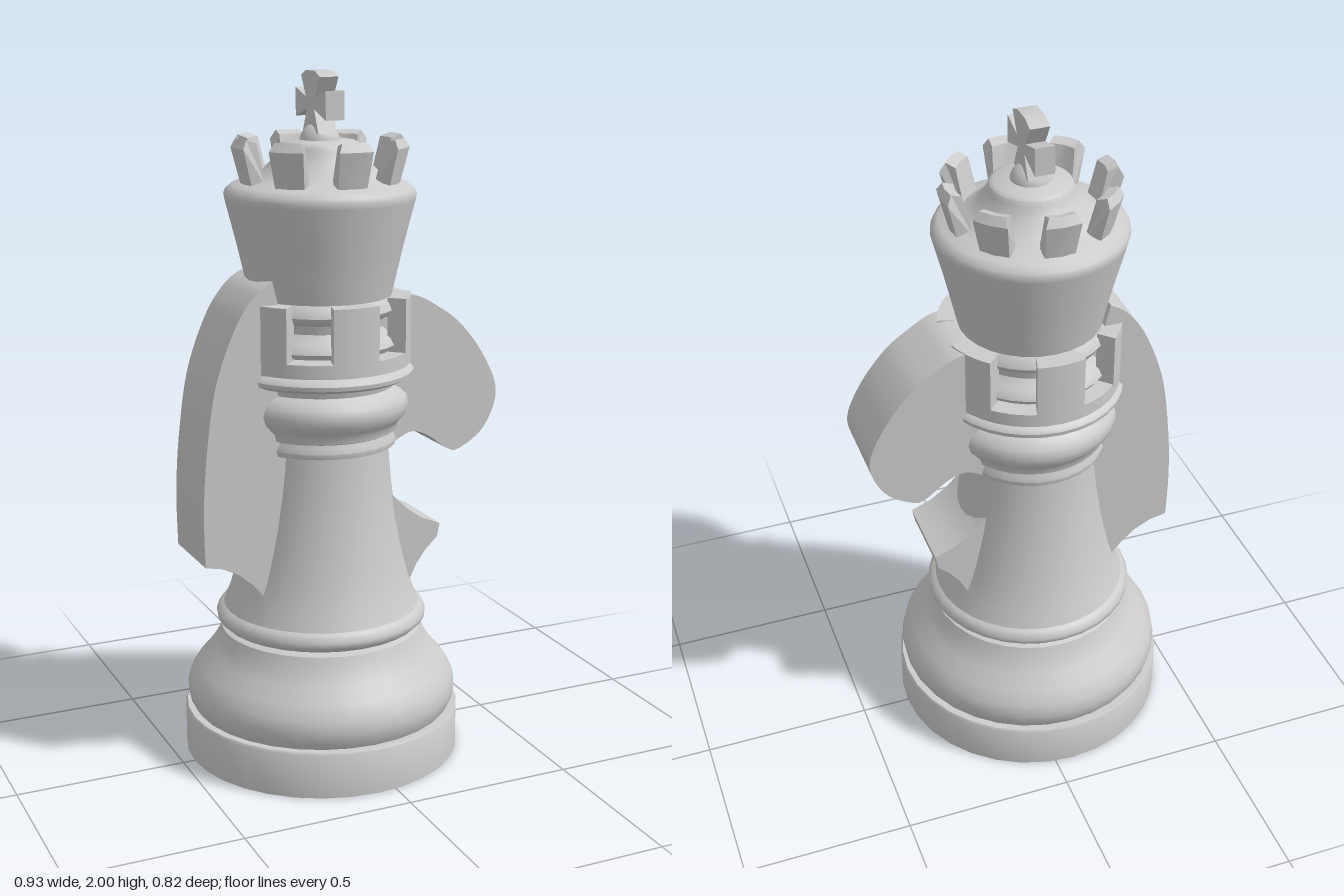
import * as THREE from 'three';
import { toCreasedNormals } from 'three/addons/utils/BufferGeometryUtils.js';

const AXIS = -0.055; // x of the turned body
const material = new THREE.MeshStandardMaterial({ color: 0xcccccc, side: THREE.DoubleSide });

const vecs = pts => pts.map(([x, y]) => new THREE.Vector2(x, y));

function part(name, geometry, crease = 0.6) {
  const mesh = new THREE.Mesh(toCreasedNormals(geometry, crease), material);
  mesh.name = name;
  return mesh;
}

function lathe(name, pts, segments = 32) {
  return part(name, new THREE.LatheGeometry(vecs(pts), segments), 0.7);
}

function extrude(shape, depth, steps = 1) {
  const g = new THREE.ExtrudeGeometry(shape, { depth, steps, bevelEnabled: false, curveSegments: 8 });
  return g.translate(0, 0, -depth / 2);
}

// Outline made of a smooth curve closed by straight lines
function outline(curve, rest) {
  const s = new THREE.Shape();
  s.moveTo(...curve[0]);
  s.splineThru(vecs(curve.slice(1)));
  rest.forEach(p => s.lineTo(...p));
  s.closePath();
  return s;
}

export function createModel() {
  const model = new THREE.Group();
  model.name = 'combinedChessPiece';
  const body = new THREE.Group();
  body.name = 'turnedBody';
  body.position.x = AXIS;
  model.add(body);

  // Turned parts, bottom to top
  body.add(lathe('base', [[0, 0], [0.41, 0], [0.41, 0.13], [0.405, 0.137], [0, 0.137]]));
  body.add(lathe('foot', [
    [0.38, 0.13], [0.395, 0.155], [0.402, 0.19], [0.395, 0.225], [0.37, 0.265], [0.335, 0.305],
    [0.31, 0.345], [0.298, 0.38], [0.27, 0.39], [0.295, 0.395], [0.31, 0.41], [0.312, 0.425],
    [0.3, 0.445], [0.28, 0.455]]));
  body.add(lathe('stem', [
    [0.29, 0.45], [0.27, 0.5], [0.25, 0.57], [0.235, 0.64], [0.22, 0.72], [0.208, 0.81],
    [0.2, 0.9], [0.198, 0.94], [0.218, 0.94], [0.222, 0.955], [0.215, 0.97], [0.21, 0.99]]));
  body.add(lathe('collar', [
    [0.2, 0.975], [0.222, 0.985], [0.226, 1.005], [0.235, 1.015], [0.25, 1.035], [0.256, 1.06],
    [0.25, 1.085], [0.23, 1.105], [0.215, 1.115], [0.22, 1.135], [0.25, 1.138], [0.268, 1.148],
    [0.27, 1.16], [0.262, 1.172], [0.24, 1.18]]));

  // Battlement: floor ring, inner core and six merlons
  body.add(lathe('battlementRing', [
    [0.22, 1.175], [0.26, 1.18], [0.26, 1.22], [0, 1.22]], 36));
  body.add(lathe('battlementCore', [
    [0.19, 1.22], [0.215, 1.225], [0.225, 1.24], [0.215, 1.26], [0.2, 1.27], [0.185, 1.29],
    [0.19, 1.315], [0.21, 1.325], [0.218, 1.34], [0.21, 1.36], [0.195, 1.375], [0.195, 1.39]]));
  const half = THREE.MathUtils.degToRad(15.5);
  for (let i = 0; i < 6; i++) {
    const a = Math.PI / 2 + i * Math.PI / 3;
    const s = new THREE.Shape();
    s.absarc(0, 0, 0.26, a - half, a + half, false);
    s.absarc(0, 0, 0.205, a + half, a - half, true);
    const g = extrude(s, 0.165).rotateX(-Math.PI / 2).translate(0, 1.2925, 0);
    body.add(part('merlon', g));
  }

  // Flared cup with the stepped cap in its middle
  body.add(lathe('cup', [
    [0, 1.375], [0.205, 1.375], [0.215, 1.42], [0.238, 1.52], [0.27, 1.645], [0.273, 1.66],
    [0.268, 1.675], [0.25, 1.69], [0.21, 1.7], [0.17, 1.72], [0.135, 1.755], [0.118, 1.785],
    [0.113, 1.8], [0.1, 1.808], [0, 1.815]], 28));
  const knob = part('knob', new THREE.SphereGeometry(0.058, 20, 12));
  knob.position.y = 1.802;
  body.add(knob);

  // Crown teeth: outward-leaning wedges, ridged and tapered
  const tooth = extrude(new THREE.Shape(vecs([
    [0.175, 1.685], [0.222, 1.69], [0.248, 1.795], [0.235, 1.82], [0.205, 1.81]])), 0.1, 2);
  const p = tooth.attributes.position;
  for (let i = 0; i < p.count; i++) {
    const y = p.getY(i);
    const middle = Math.abs(p.getZ(i)) < 0.01;
    p.setZ(i, p.getZ(i) * (y > 1.805 ? 0.75 : y > 1.75 ? 1 : 0.85));
    if (middle) p.setX(i, p.getX(i) + 0.006);
  }
  for (let i = 0; i < 8; i++) {
    const mesh = part('crownTooth', tooth, 0.3);
    mesh.rotation.y = i * Math.PI / 4;
    body.add(mesh);
  }

  // Flared cross, facing sideways
  const cross = new THREE.Shape(vecs([
    [-0.055, 1.83], [0.055, 1.83], [0.025, 1.895], [0.105, 1.87], [0.105, 1.95], [0.032, 1.928],
    [0.065, 1.985], [0.03, 2], [-0.03, 2], [-0.065, 1.985], [-0.032, 1.928],
    [-0.105, 1.95], [-0.105, 1.87], [-0.025, 1.895]]));
  body.add(part('cross', extrude(cross, 0.056).rotateY(Math.PI / 2)));

  // Horse: flat slabs that pass into the body
  const mane = outline(
    [[-0.25, 1.44], [-0.3, 1.405], [-0.36, 1.32], [-0.42, 1.16], [-0.45, 0.97], [-0.462, 0.8], [-0.46, 0.64]],
    [[-0.41, 0.63], [-0.36, 0.605], [-0.32, 0.57], [-0.285, 0.53], [-0.26, 0.6], [-0.15, 0.65],
      [-0.1, 0.95], [-0.1, 1.36], [-0.23, 1.36]]);
  const head = outline(
    [[0.1, 1.375], [0.19, 1.37], [0.26, 1.335], [0.34, 1.275], [0.42, 1.17], [0.461, 1.06],
      [0.42, 0.955], [0.34, 0.9], [0.3, 0.905], [0.235, 0.952], [0.18, 0.968], [0.12, 0.94]],
    [[0, 0.9], [0, 1.37]]);
  const chest = new THREE.Shape(vecs([
    [0, 0.86], [0.08, 0.835], [0.12, 0.785], [0.17, 0.735], [0.22, 0.7], [0.28, 0.675], [0.272, 0.635],
    [0.235, 0.6], [0.205, 0.56], [0.18, 0.51], [0.14, 0.55], [0, 0.58]]));
  model.add(part('horseMane', extrude(mane, 0.236)));
  model.add(part('horseHead', extrude(head, 0.236)));
  model.add(part('horseChest', extrude(chest, 0.236)));

  return model;
}
